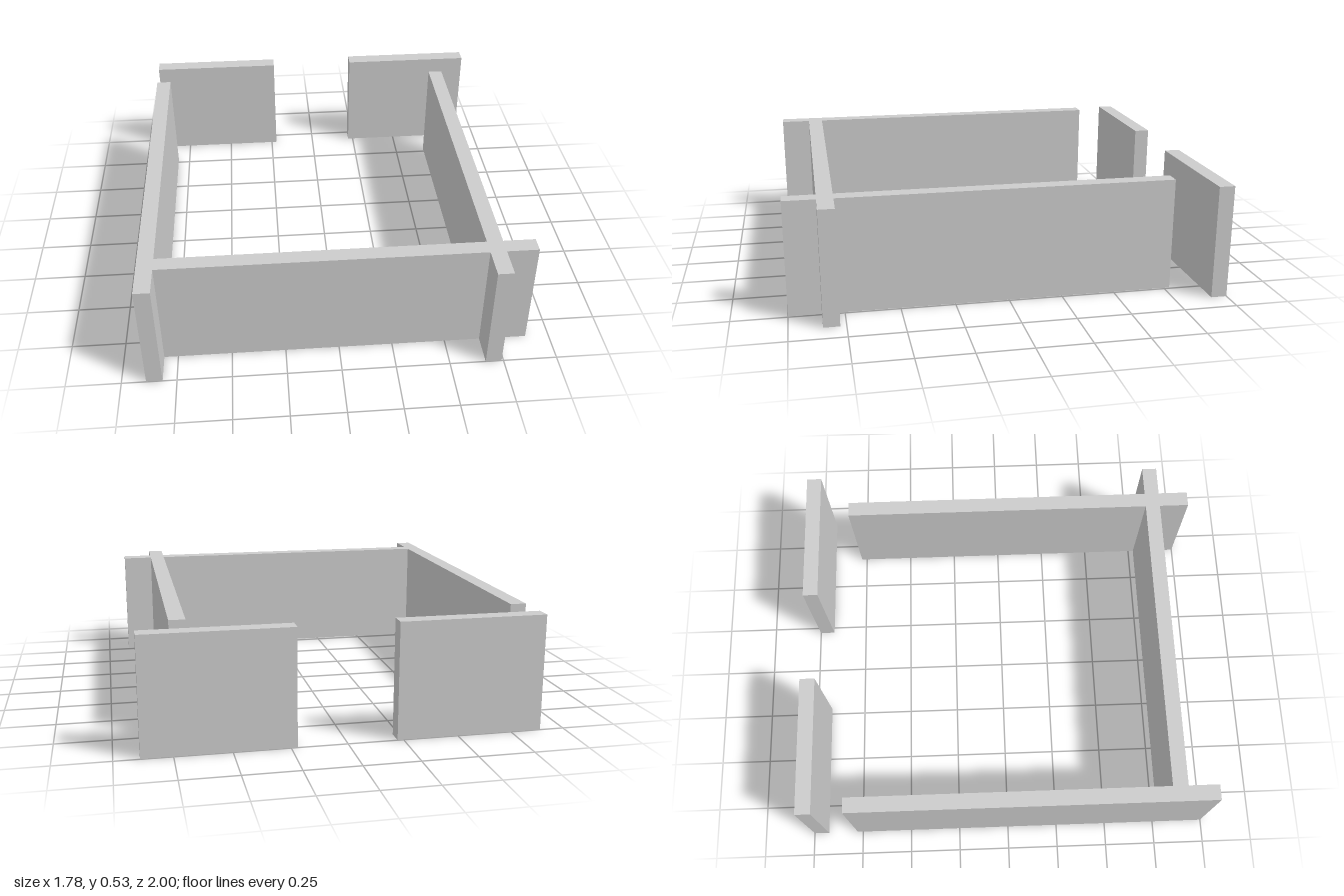
import * as THREE from 'three';

const U = 2 / 27;        // wall thickness
const HEIGHT = 0.533;

export function createModel() {
  const model = new THREE.Group();
  const material = new THREE.MeshStandardMaterial({ color: 0xcccccc, flatShading: true });

  // Extrude a floor-plan outline of [x, z] corners, in wall thicknesses, up from the ground
  function addWall(name, plan) {
    const shape = new THREE.Shape(plan.map(([x, z]) => new THREE.Vector2(x * U, -z * U)));
    const geometry = new THREE.ExtrudeGeometry(shape, { depth: HEIGHT, bevelEnabled: false });
    geometry.rotateX(-Math.PI / 2);
    const mesh = new THREE.Mesh(geometry, material);
    mesh.name = name;
    model.add(mesh);
  }

  // Two side walls joined by the front wall, with stubs running past the joints
  addWall('joinedWalls', [
    [-12, 13.5], [-11, 13.5], [-11, 11.5], [9, 11.5], [9, 13.5], [10, 13.5],
    [10, 11.5], [12, 11.5], [12, 10.5], [10, 10.5], [10, -10.5], [9, -10.5],
    [9, 10.5], [-11, 10.5], [-11, -10.5], [-12, -10.5],
  ]);

  // Free-standing back panels either side of the opening
  for (const [name, x] of [['backPanelRight', -12], ['backPanelLeft', 3]]) {
    addWall(name, [[x, -12.5], [x + 9, -12.5], [x + 9, -13.5], [x, -13.5]]);
  }

  return model;
}
